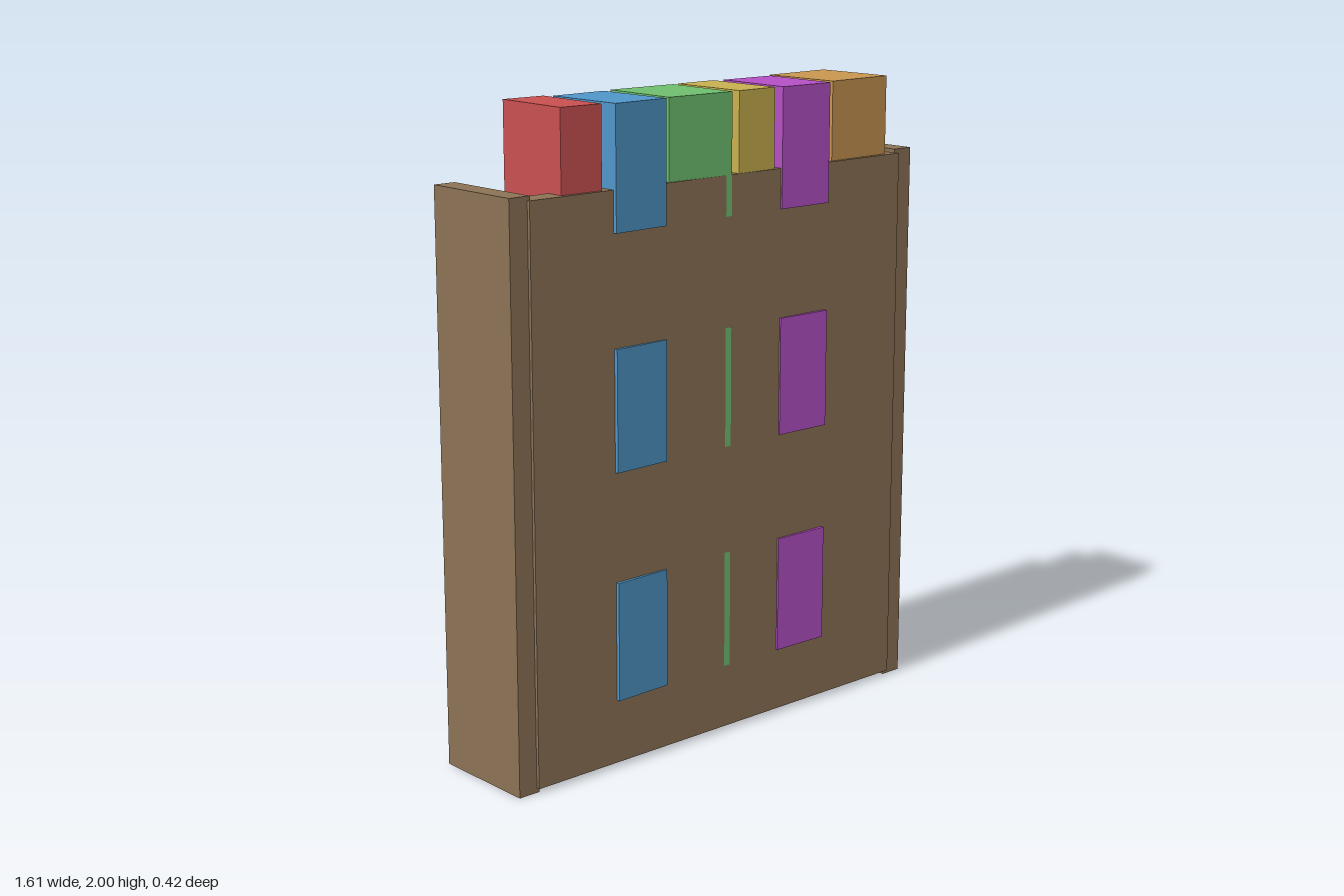
import * as THREE from 'three';

const mat = (color) => {
  const m = new THREE.MeshStandardMaterial({ color: 0xcccccc });
  m.color.set(color);
  return m;
};

function box(name, material, w, h, d, x, y, z) {
  const mesh = new THREE.Mesh(new THREE.BoxGeometry(w, h, d), material);
  mesh.name = name;
  mesh.position.set(x, y, z);
  return mesh;
}

export function createModel() {
  const model = new THREE.Group();
  model.name = 'bookcase';
  const wood = mat(0x8b7355);

  // Upright sides and the panel closing the front
  for (const s of [-1, 1]) {
    model.add(box(s > 0 ? 'leftSide' : 'rightSide', wood, 0.073, 1.766, 0.348, s * 0.77, 0.883, 0.013));
  }
  model.add(box('panel', wood, 1.486, 1.74, 0.0735, 0, 0.884, 0.1607));

  // Books: name, colour, width, centre x, centre z, slight turn
  const books = [
    ['redBook', 0xc85050, 0.145, -0.543, 0.05, -0.03],
    ['blueBook', 0x5096c8, 0.196, -0.347, 0.071, 0.03],
    ['greenBook', 0x6ebe6e, 0.244, -0.1, 0.06, -0.025],
    ['yellowBook', 0xc8b050, 0.148, 0.122, 0.059, 0.01],
    ['purpleBook', 0xb450c3, 0.196, 0.323, 0.071, -0.025],
    ['orangeBook', 0xc89650, 0.247, 0.57, 0.048, 0.03],
  ].map(([name, color, ...rest]) => [name, mat(color), ...rest]);

  // Three shelves, each with the same row of books just above it
  [0.138, 0.846, 1.554].forEach((y, i) => {
    const level = new THREE.Group();
    level.name = `level${i + 1}`;
    level.position.y = y;
    level.add(box('shelf', wood, 1.512, 0.073, 0.35, 0, 0, -0.033));
    for (const [name, material, w, x, z, turn] of books) {
      const book = box(name, material, w, 0.37, 0.27, x, 0.261, z);
      book.rotation.y = turn;
      level.add(book);
    }
    model.add(level);
  });

  return model;
}
